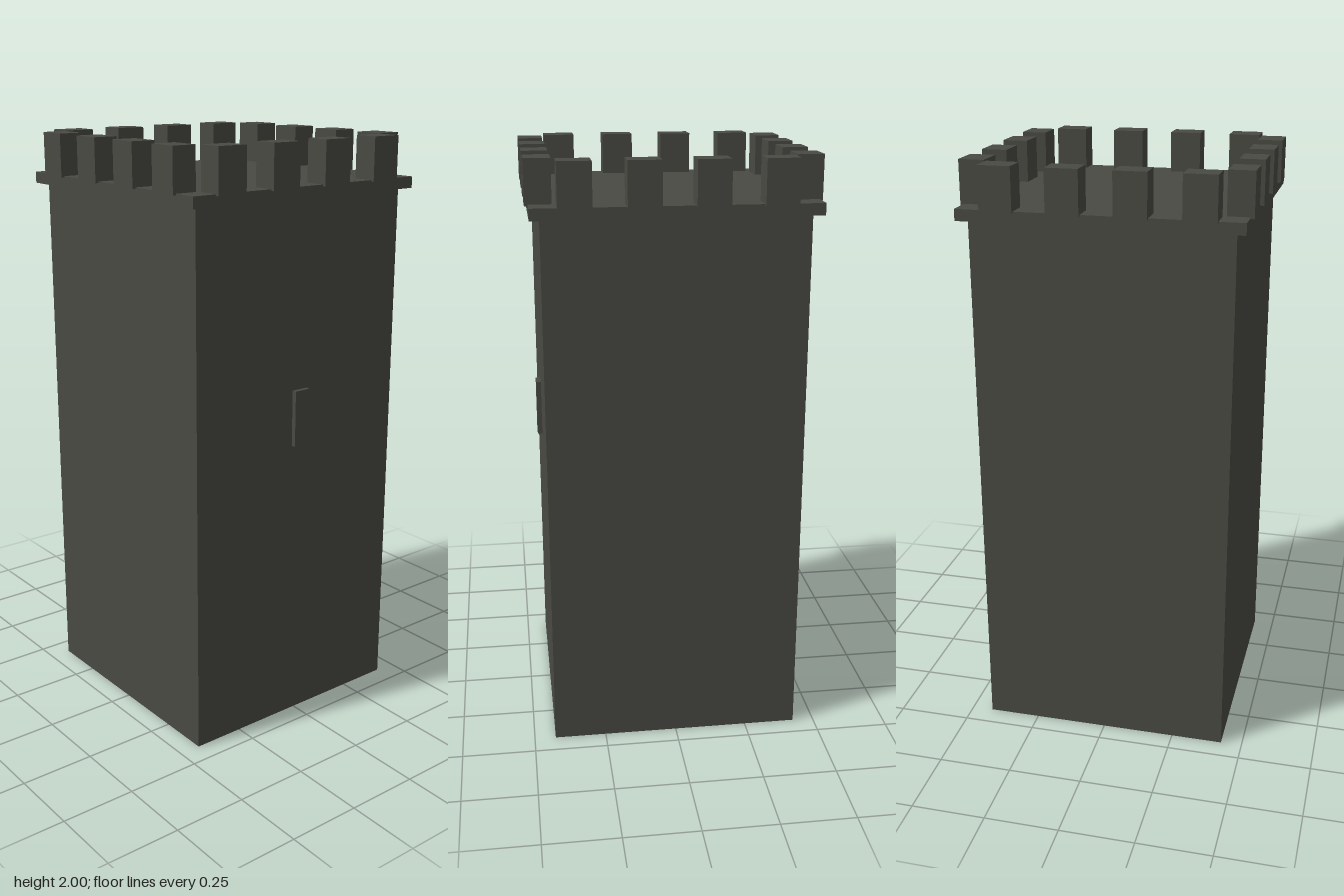
import * as THREE from 'three';

export function createModel() {
  const tower = new THREE.Group();
  tower.name = 'tower';
  const stone = new THREE.MeshStandardMaterial({ color: 0x4a4a44 });
  stone.name = 'dark stone';

  function box(name, w, h, d, x, bottom, z, parent = tower) {
    const mesh = new THREE.Mesh(new THREE.BoxGeometry(w, h, d), stone);
    mesh.name = name;
    mesh.position.set(x, bottom + h / 2, z);
    parent.add(mesh);
    return mesh;
  }

  // Square shaft and the overhanging ledge on top
  box('shaft', 0.854, 1.822, 0.854, 0, 0, 0);
  box('ledge', 0.918, 0.038, 0.918, 0, 1.822, 0);

  // Narrow window slab, standing slightly proud of the front wall
  box('windowSlit', 0.06, 0.192, 0.032, 0, 0.998, 0.427);

  // Four merlons along each side of the parapet
  for (let side = 0; side < 4; side++) {
    const row = new THREE.Group();
    row.name = 'battlement';
    row.rotation.y = side * Math.PI / 2;
    for (let i = 0; i < 4; i++) {
      box('merlon', 0.107, 0.145, 0.085, (i - 1.5) * 0.2135, 1.855, 0.4275, row);
    }
    tower.add(row);
  }

  return tower;
}
